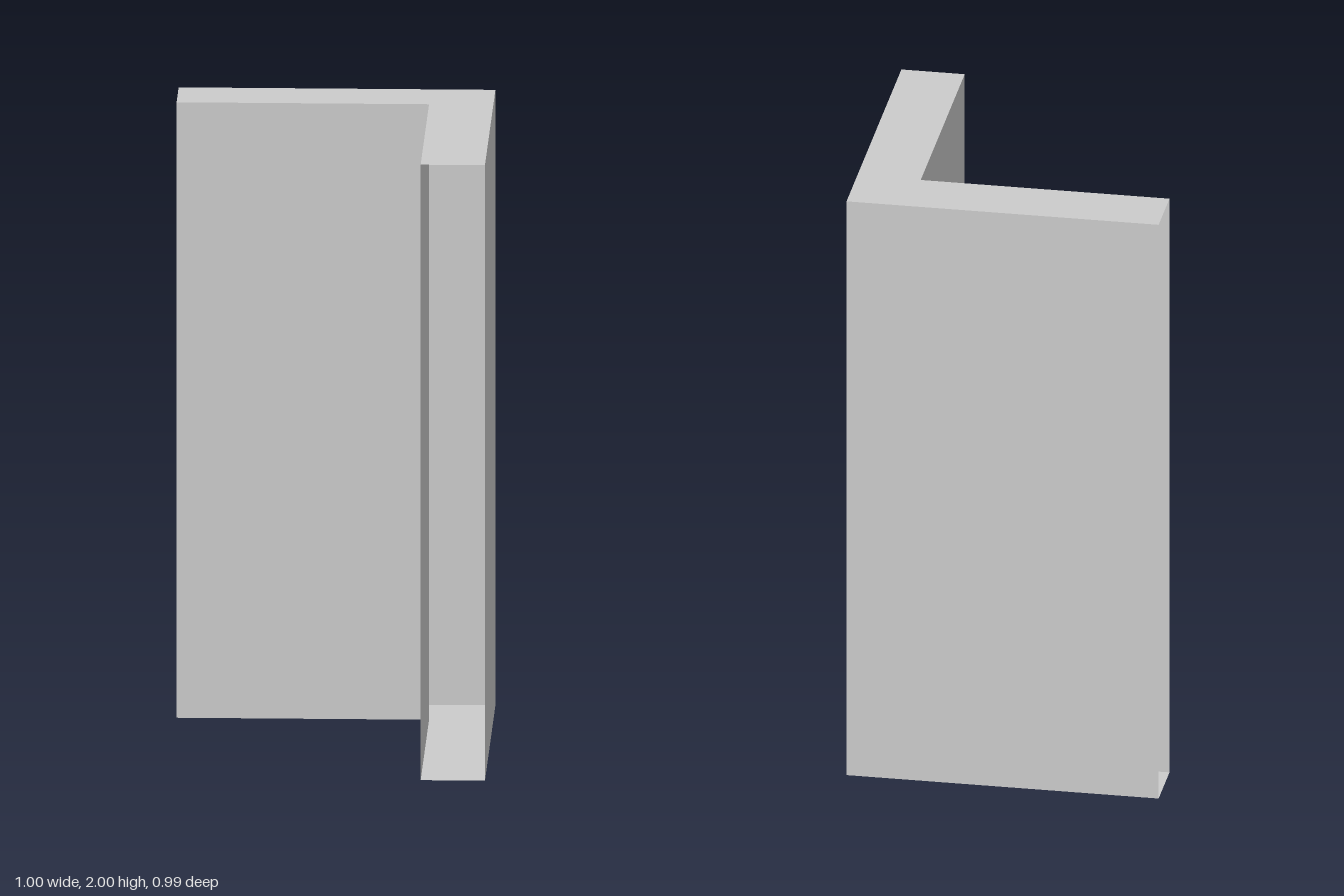
import * as THREE from 'three';

const HEIGHT = 2;
// Plan of the L-shaped channel as [x, z] points
const OUTER = [[-0.5, -0.497], [0.5, -0.497], [0.5, 0.497]];
const INNER = [[0.297, 0.497], [0.297, -0.3], [-0.5, -0.3]];

export function createModel() {
  const group = new THREE.Group();
  group.name = 'cornerChannel';
  const material = new THREE.MeshStandardMaterial({
    color: 0xcccccc, flatShading: true, side: THREE.DoubleSide,
  });

  const add = (name, geometry) => {
    const mesh = new THREE.Mesh(geometry, material);
    mesh.name = name;
    group.add(mesh);
    return mesh;
  };

  // Upright wall between two plan points, facing out of the channel
  const addWall = (name, [x0, z0], [x1, z1]) => {
    const length = Math.hypot(x1 - x0, z1 - z0);
    const wall = add(name, new THREE.PlaneGeometry(length, HEIGHT));
    wall.position.set((x0 + x1) / 2, HEIGHT / 2, (z0 + z1) / 2);
    wall.rotation.y = Math.atan2(z1 - z0, x0 - x1);
  };

  // Two outer and two inner walls; both ends of the channel stay open
  addWall('backOuterWall', OUTER[0], OUTER[1]);
  addWall('sideOuterWall', OUTER[1], OUTER[2]);
  addWall('sideInnerWall', INNER[0], INNER[1]);
  addWall('backInnerWall', INNER[1], INNER[2]);

  // L-shaped top and bottom plates
  const outline = [...OUTER, ...INNER];
  for (const [name, y, dir] of [['topPlate', HEIGHT, -1], ['bottomPlate', 0, 1]]) {
    const shape = new THREE.Shape(outline.map(([x, z]) => new THREE.Vector2(x, dir * z)));
    const plate = add(name, new THREE.ShapeGeometry(shape));
    plate.rotation.x = dir * Math.PI / 2;
    plate.position.y = y;
  }

  return group;
}
